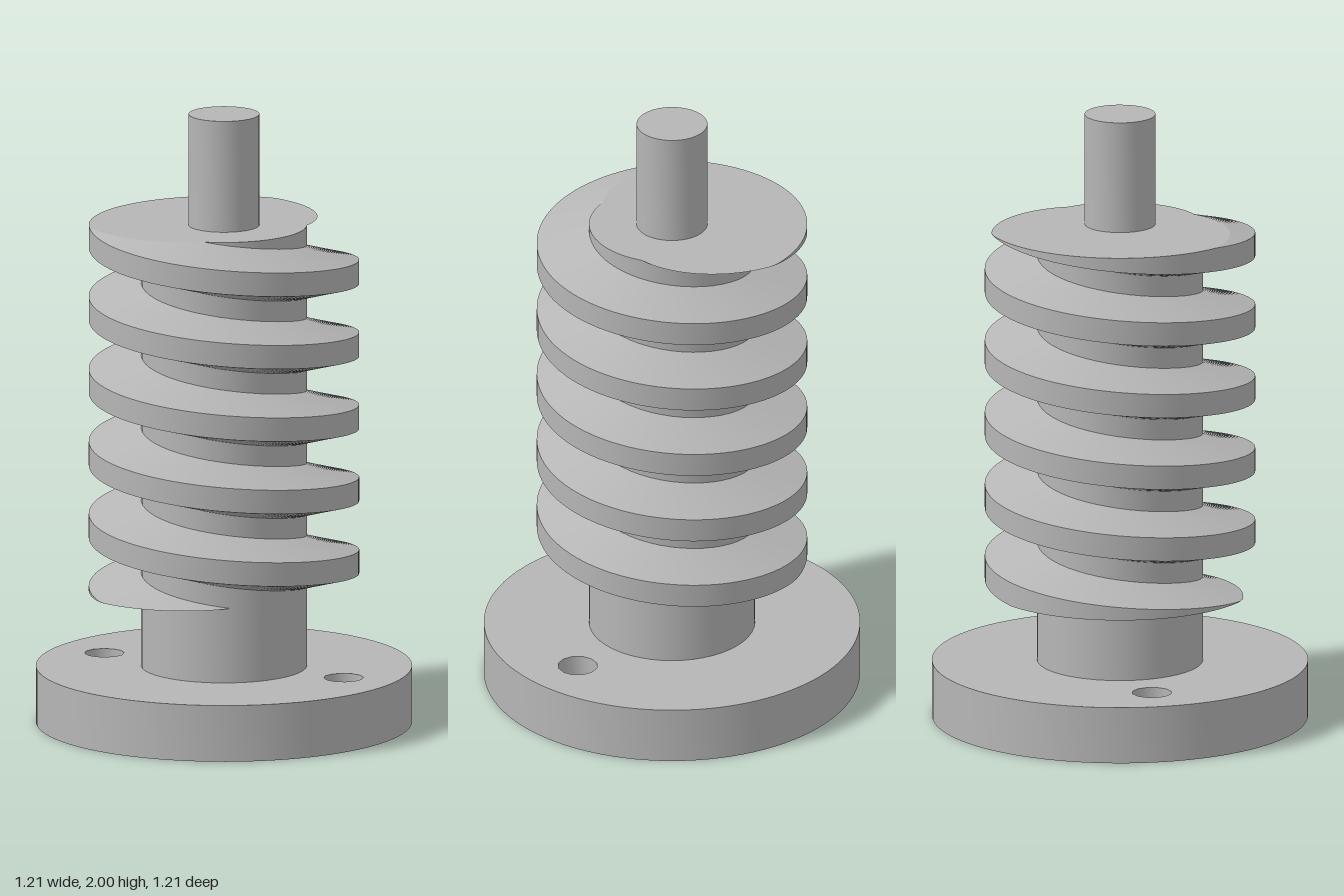
import * as THREE from 'three';
import { toCreasedNormals } from 'three/addons/utils/BufferGeometryUtils.js';

const steel = new THREE.MeshStandardMaterial({ color: 0xb6b6b6 });
steel.name = 'steel grey';

const Y_LOW = 0.43, Y_HIGH = 1.635;      // threaded section
const BASE_R = 0.605, BASE_H = 0.185;
const CORE_R = 0.267, SHAFT_R = 0.114, BORE_R = 0.095;

function addPart(group, name, geometry, crease) {
  const mesh = new THREE.Mesh(toCreasedNormals(geometry, crease), steel);
  mesh.name = name;
  group.add(mesh);
}

function circlePoints(cx, radius, segments) {
  return Array.from({ length: segments }, (_, i) => {
    const a = (i / segments) * Math.PI * 2;
    return new THREE.Vector2(cx + radius * Math.cos(a), radius * Math.sin(a));
  });
}

// Round flange with two bolt holes and a central bore
function flangeGeometry() {
  const shape = new THREE.Shape(circlePoints(0, BASE_R, 96));
  for (const side of [-1, 1]) shape.holes.push(new THREE.Path(circlePoints(side * 0.427, 0.064, 12)));
  shape.holes.push(new THREE.Path(circlePoints(0, BORE_R, 48)));
  const geometry = new THREE.ExtrudeGeometry(shape, { depth: BASE_H, bevelEnabled: false });
  return geometry.rotateX(-Math.PI / 2);
}

// Shoulder, thread core and top shaft, with a blind bore from below
function spindleGeometry() {
  const profile = [
    [0, Y_LOW], [BORE_R, Y_LOW], [BORE_R, BASE_H], [CORE_R, BASE_H],
    [CORE_R, Y_HIGH], [SHAFT_R, Y_HIGH], [SHAFT_R, 2], [0, 2],
  ].map(([r, y]) => new THREE.Vector2(r, y));
  return new THREE.LatheGeometry(profile, 48);
}

// Trapezoid thread swept along a helix and cut flat at both ends
function threadGeometry() {
  const pitch = 0.2385, phaseY = 1.617;
  const crestR = 0.435, rootR = 0.25, crestHalf = 0.039, rootHalf = 0.09;
  const clamp = THREE.MathUtils.clamp;
  const radiusAt = (o) =>
    rootR + (crestR - rootR) * clamp((rootHalf - Math.abs(o)) / (rootHalf - crestHalf), 0, 1);

  const start = Y_LOW - rootHalf, end = Y_HIGH + rootHalf;
  const steps = Math.ceil(((end - start) / pitch) * 96);
  const positions = [], index = [], n = 6;
  for (let i = 0; i <= steps; i++) {
    const yc = start + ((end - start) * i) / steps;
    const angle = Math.PI + (Math.PI * 2 * (yc - phaseY)) / pitch;
    const offsets = [-rootHalf, -crestHalf, crestHalf, rootHalf]
      .map((o) => clamp(o, Y_LOW - yc, Y_HIGH - yc));
    const section = [
      [rootR, offsets[0]],
      ...offsets.map((o) => [radiusAt(o), o]),
      [rootR, offsets[3]],
    ];
    for (const [r, o] of section) positions.push(r * Math.cos(angle), yc + o, r * Math.sin(angle));
    if (i === steps) break;
    for (let j = 0; j < n - 1; j++) {
      const a = i * n + j;
      index.push(a, a + 1, a + n, a + 1, a + n + 1, a + n);
    }
  }
  const geometry = new THREE.BufferGeometry();
  geometry.setAttribute('position', new THREE.Float32BufferAttribute(positions, 3));
  geometry.setIndex(index);
  return geometry;
}

export function createModel() {
  const group = new THREE.Group();
  group.name = 'wormScrew';
  addPart(group, 'baseFlange', flangeGeometry(), 0.6);
  addPart(group, 'spindle', spindleGeometry(), 0.6);
  addPart(group, 'wormThread', threadGeometry(), 0.2);
  return group;
}
